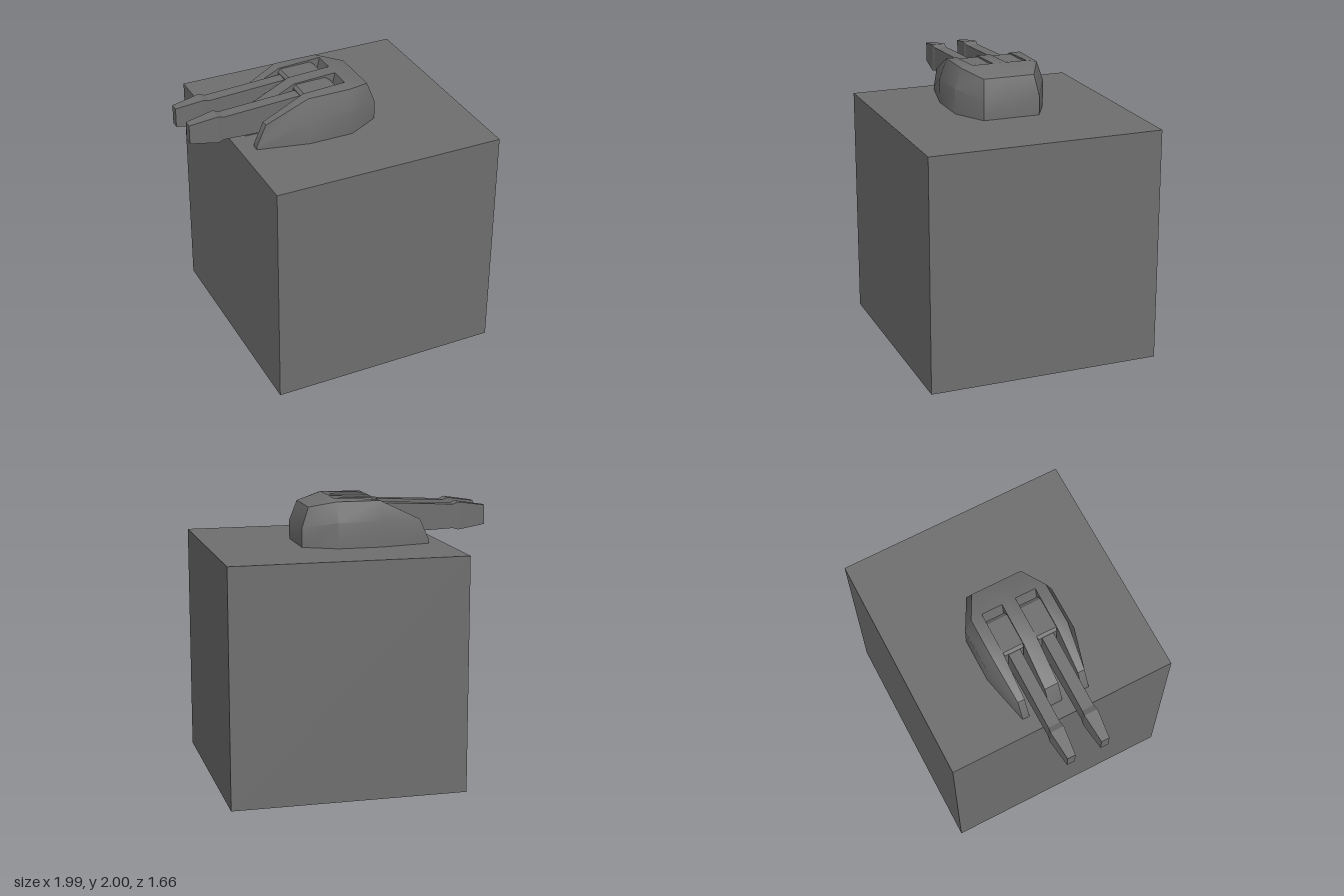
import * as THREE from 'three';
import { toCreasedNormals } from 'three/addons/utils/BufferGeometryUtils.js';

const material = new THREE.MeshStandardMaterial({ color: 0x6f6f6f, side: THREE.DoubleSide });

function addMesh(parent, name, geometry) {
  const mesh = new THREE.Mesh(geometry, material);
  mesh.name = name;
  parent.add(mesh);
  return mesh;
}

// Turns convex polygons into a geometry with soft shallow edges and sharp steep ones
function polygonGeometry(polygons, crease) {
  const positions = [];
  for (const p of polygons) {
    for (let i = 1; i < p.length - 1; i++) positions.push(...p[0], ...p[i], ...p[i + 1]);
  }
  const geometry = new THREE.BufferGeometry();
  geometry.setAttribute('position', new THREE.Float32BufferAttribute(positions, 3));
  return toCreasedNormals(geometry, crease);
}

// Faceted housing with two open gun slots; one half is described, then mirrored in z
function housingGeometry() {
  const y0 = 1.665, slotOut = 0.2, slotIn = 0.05;
  // Each station: base, shoulder, roof edge
  const stations = [
    [[-0.558, y0, 0.25], [-0.558, 1.69, 0.25], [-0.49, 1.84, 0.25]],
    [[-0.2, y0, 0.33], [-0.2, 1.845, 0.33], [-0.19, 1.985, 0.28]],
    [[0.12, y0, 0.33], [0.12, 1.845, 0.33], [0.12, 1.985, 0.28]],
    [[0.352, y0, 0.205], [0.352, 1.8, 0.205], [0.3, 1.943, 0.185]],
  ];
  // Side outline of the ribs beside the slots
  const rib = [[-0.558, y0], [0.12, y0], [0.12, 2], [-0.19, 1.985], [-0.49, 1.84], [-0.558, 1.69]];
  const at = (i, z) => [rib[i][0], rib[i][1], z];
  const half = [];

  // Outer wall
  for (let s = 0; s < 3; s++) {
    for (let r = 0; r < 2; r++) {
      half.push([stations[s][r], stations[s + 1][r], stations[s + 1][r + 1], stations[s][r + 1]]);
    }
  }
  // Rear wall
  const rear = stations[3];
  const mid = (p) => [p[0], p[1], 0];
  for (let r = 0; r < 2; r++) half.push([rear[r], mid(rear[r]), mid(rear[r + 1]), rear[r + 1]]);
  // Roof beside and between the slots
  for (const [a, b] of [[4, 3], [3, 2]]) {
    const outerA = stations[4 - a][2], outerB = stations[5 - a][2];
    half.push([outerA, outerB, at(b, slotOut), at(a, slotOut)]);
    half.push([at(a, slotIn), at(b, slotIn), at(b, 0), at(a, 0)]);
  }
  // Rear roof
  half.push([stations[2][2], rear[2], at(2, slotOut)]);
  half.push([at(2, slotOut), rear[2], at(2, slotIn)]);
  half.push([at(2, slotIn), rear[2], mid(rear[2]), at(2, 0)]);
  // Front ends of the ribs
  for (const [z1, z2] of [[0, slotIn], [slotOut, 0.25]]) {
    half.push([at(0, z1), at(0, z2), at(5, z2), at(5, z1)]);
    half.push([at(5, z1), at(5, z2), at(4, z2), at(4, z1)]);
  }
  // Slot walls and sloping slot end
  half.push(rib.map((_, i) => at(i, slotIn)));
  half.push(rib.map((_, i) => at(i, slotOut)).reverse());
  half.push([[0.05, y0, slotIn], [0.05, y0, slotOut], at(2, slotOut), at(2, slotIn)]);

  const mirrored = half.map((p) => p.map(([x, y, z]) => [x, y, -z]).reverse());
  return polygonGeometry([...half, ...mirrored], 0.55);
}

// Rectangular bar lofted through sections of [x, bottom, top, half width]
function barGeometry(sections) {
  const rings = sections.map(([x, b, t, w]) => [[x, b, -w], [x, b, w], [x, t, w], [x, t, -w]]);
  const polygons = [rings[0], [...rings[rings.length - 1]].reverse()];
  for (let s = 0; s < rings.length - 1; s++) {
    for (let i = 0; i < 4; i++) {
      const j = (i + 1) % 4;
      polygons.push([rings[s][i], rings[s + 1][i], rings[s + 1][j], rings[s][j]]);
    }
  }
  return polygonGeometry(polygons, 0.05);
}

export function createModel() {
  const model = new THREE.Group();
  model.name = 'turretOnBlock';

  // Block
  const block = addMesh(model, 'block', new THREE.BoxGeometry(1.662, 1.665, 1.66));
  block.position.set(0.161, 0.8325, 0);

  // Turret
  const turret = new THREE.Group();
  turret.name = 'turret';
  model.add(turret);
  addMesh(turret, 'housing', housingGeometry());

  // Twin guns
  const barrel = barGeometry([
    [-1, 1.772, 1.91, 0.029],
    [-0.8, 1.742, 1.94, 0.049],
    [-0.76, 1.753, 1.925, 0.043],
    [-0.19, 1.73, 1.955, 0.043],
  ]);
  // The breech fills its slot, almost level with the roof
  const breech = barGeometry([
    [-0.2, 1.72, 1.96, 0.068],
    [-0.18, 1.7, 1.978, 0.074],
    [0.045, 1.7, 1.982, 0.074],
    [0.075, 1.72, 1.962, 0.068],
  ]);
  for (const side of [1, -1]) {
    const gun = new THREE.Group();
    gun.name = side > 0 ? 'frontGun' : 'backGun';
    gun.position.z = 0.125 * side;
    addMesh(gun, 'barrel', barrel);
    addMesh(gun, 'breech', breech);
    turret.add(gun);
  }
  return model;
}
